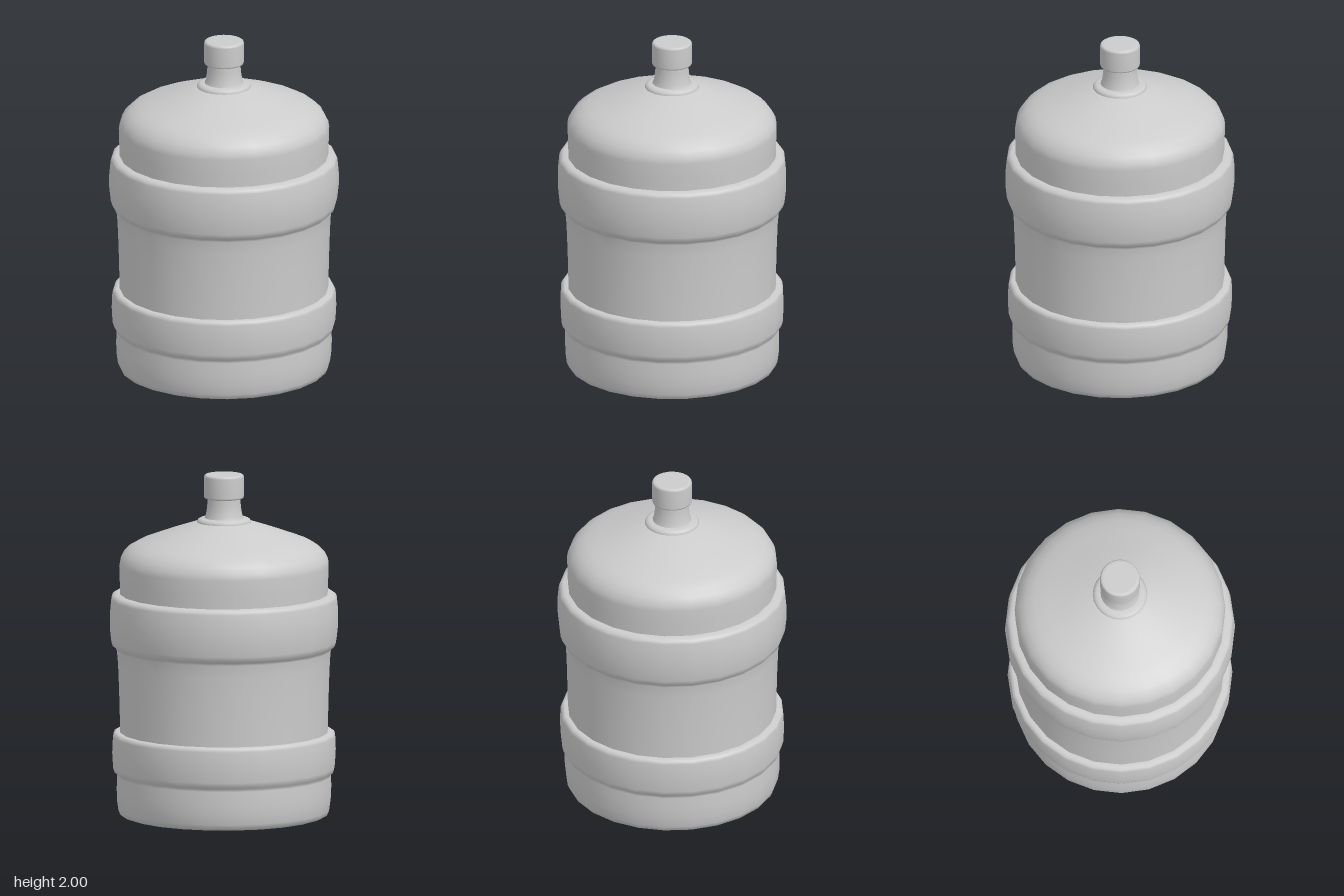
import * as THREE from 'three';

const SIDES = 24;

export function createModel() {
  const group = new THREE.Group();
  group.name = 'waterBottle';
  const material = new THREE.MeshStandardMaterial({ color: 0xcccccc });

  // Turns a bottom-to-top [radius, height] profile; separate parts meet at sharp creases.
  function turn(name, profile) {
    const points = profile.map(([r, y]) => new THREE.Vector2(r, y));
    const mesh = new THREE.Mesh(new THREE.LatheGeometry(points, SIDES), material);
    mesh.name = name;
    group.add(mesh);
  }

  // Base with its rounded foot, flowing into the lower band
  turn('baseAndLowerBand', [
    [0, 0], [0.55, 0], [0.58, 0.003], [0.603, 0.012], [0.615, 0.04], [0.623, 0.1],
    [0.625, 0.17], [0.622, 0.235], [0.622, 0.25], [0.638, 0.262], [0.646, 0.29],
    [0.651, 0.38], [0.647, 0.47], [0.64, 0.487], [0.625, 0.495], [0.6, 0.495],
  ]);

  // Waist, flowing into the upper band
  turn('waistAndUpperBand', [
    [0.605, 0.495], [0.607, 0.6], [0.611, 0.75], [0.617, 0.9], [0.624, 0.975],
    [0.63, 0.99], [0.647, 1.002], [0.656, 1.03], [0.665, 1.11], [0.665, 1.19],
    [0.657, 1.275], [0.65, 1.292], [0.632, 1.303], [0.6, 1.305],
  ]);

  // Upper wall and sloping shoulder
  turn('shoulder', [
    [0.605, 1.3], [0.607, 1.38], [0.61, 1.47], [0.604, 1.503], [0.585, 1.54],
    [0.55, 1.575], [0.5, 1.603], [0.43, 1.63], [0.3, 1.677], [0.17, 1.72], [0.14, 1.722],
  ]);

  // Collar at the foot of the neck
  turn('collar', [
    [0.155, 1.715], [0.158, 1.725], [0.15, 1.738], [0.135, 1.745], [0.1, 1.747],
  ]);

  // Flared neck
  turn('neck', [
    [0.113, 1.745], [0.106, 1.765], [0.1, 1.8], [0.097, 1.83], [0.096, 1.865],
  ]);

  // Cap with softened rims
  turn('cap', [
    [0.09, 1.86], [0.105, 1.86], [0.113, 1.863], [0.116, 1.872], [0.116, 1.985],
    [0.113, 1.995], [0.105, 2], [0.09, 2], [0, 2],
  ]);

  return group;
}
